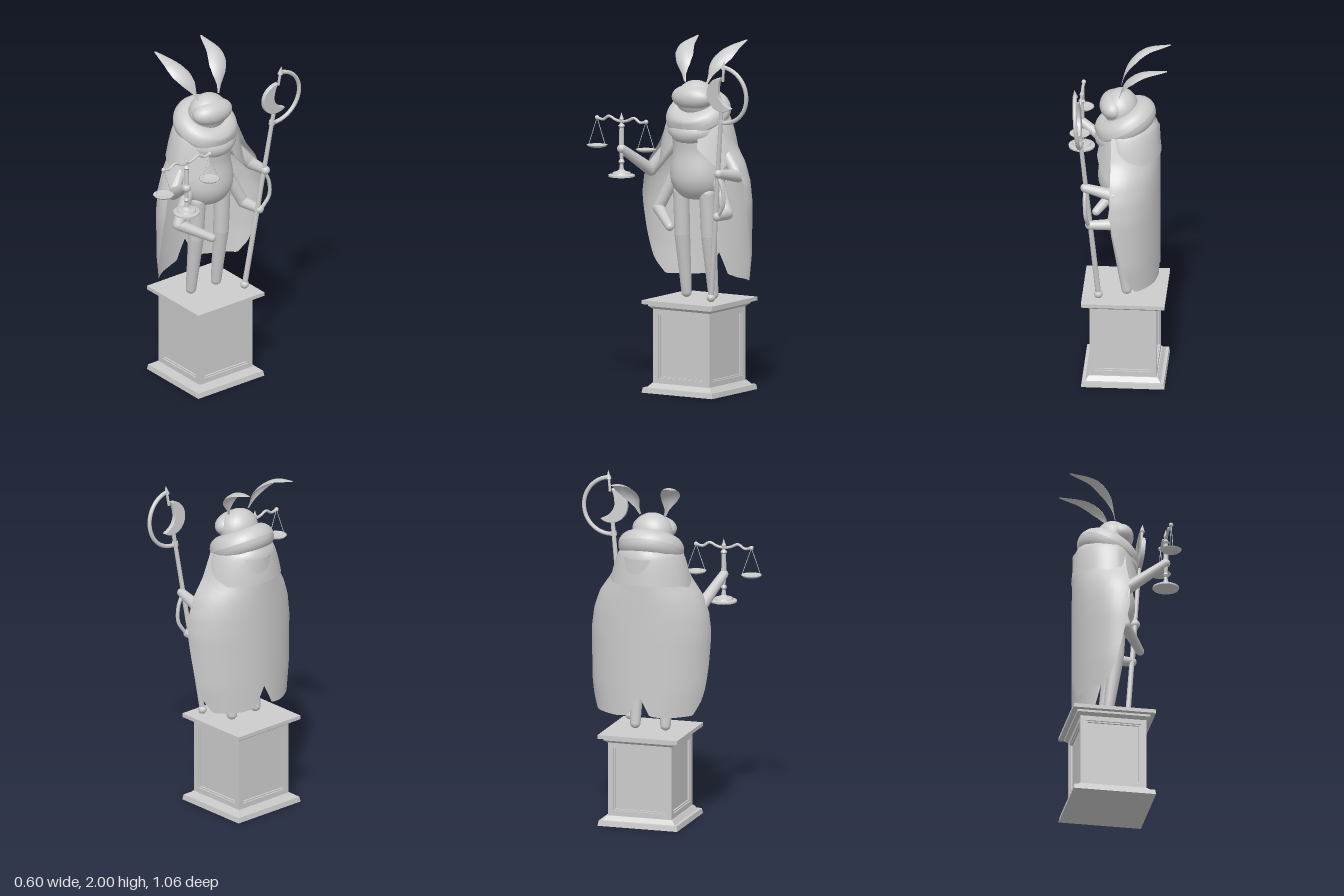
import * as THREE from 'three';

const mat = new THREE.MeshStandardMaterial({ color: 0xcccccc });
const flat = new THREE.MeshStandardMaterial({ color: 0xcccccc, flatShading: true });
const thin = new THREE.MeshStandardMaterial({ color: 0xcccccc, side: THREE.DoubleSide });
const V = (p) => new THREE.Vector3(...p);
const RAD = Math.PI / 180;

function add(parent, name, geo, pos = [0, 0, 0], material = mat) {
  const m = new THREE.Mesh(geo, material);
  m.name = name;
  m.position.set(...pos);
  parent.add(m);
  return m;
}

function ellipsoid(parent, name, pos, r) {
  return add(parent, name, new THREE.SphereGeometry(1, 28, 20).scale(...r), pos);
}

// piecewise linear lookup in [[x, y], ...]
function lookup(table, x) {
  for (let i = 1; i < table.length; i++) {
    const [x0, y0] = table[i - 1], [x1, y1] = table[i];
    if (x <= x1) return y0 + (y1 - y0) * Math.max(0, (x - x0) / (x1 - x0));
  }
  return table[table.length - 1][1];
}

// grid surface from a rule (u, v) -> [x, y, z]
function sheet(nu, nv, fn) {
  const pos = [], idx = [];
  for (let j = 0; j <= nv; j++)
    for (let i = 0; i <= nu; i++) pos.push(...fn(i / nu, j / nv));
  for (let j = 0; j < nv; j++)
    for (let i = 0; i < nu; i++) {
      const a = j * (nu + 1) + i, b = a + nu + 1;
      idx.push(a, b, a + 1, a + 1, b, b + 1);
    }
  const g = new THREE.BufferGeometry();
  g.setAttribute('position', new THREE.Float32BufferAttribute(pos, 3));
  g.setIndex(idx);
  g.computeVertexNormals();
  return g;
}

// tapered rods with round joints through [x, y, z, radius] points
function limb(parent, name, pts) {
  const g = new THREE.Group();
  g.name = name;
  parent.add(g);
  pts.forEach((p, i) => {
    add(g, 'joint', new THREE.SphereGeometry(p[3], 16, 12), p.slice(0, 3));
    if (!i) return;
    const q = pts[i - 1], a = V(q.slice(0, 3)), b = V(p.slice(0, 3)), d = b.clone().sub(a);
    const rod = add(g, 'segment', new THREE.CylinderGeometry(p[3], q[3], d.length(), 16, 1, true), a.add(b).multiplyScalar(0.5).toArray());
    rod.quaternion.setFromUnitVectors(new THREE.Vector3(0, 1, 0), d.normalize());
  });
  return g;
}

const tube = (pts, r, n = 32) => new THREE.TubeGeometry(new THREE.CatmullRomCurve3(pts.map(V)), n, r, 8);

function pedestal() {
  const g = new THREE.Group();
  g.name = 'pedestal';
  g.position.set(-0.047, 0, -0.04);
  const block = (name, y0, y1, w0, w1) => add(g, name,
    new THREE.CylinderGeometry(w1 / Math.SQRT2, w0 / Math.SQRT2, y1 - y0, 4).rotateY(Math.PI / 4), [0, (y0 + y1) / 2, 0], flat);
  block('plinth', 0, 0.03, 0.475, 0.465);
  block('plinthMoulding', 0.03, 0.055, 0.43, 0.39);
  block('core', 0.05, 0.5, 0.345, 0.345);
  block('corniceMoulding', 0.48, 0.495, 0.385, 0.42);
  block('corniceStep', 0.495, 0.51, 0.42, 0.42);
  block('topSlab', 0.508, 0.53, 0.475, 0.475);
  // framed recessed panel on each side
  const frame = (w, y0, y1, border, depth) => {
    const rect = (T, x, a, b) => new T([[-x, a], [x, a], [x, b], [-x, b]].map((p) => new THREE.Vector2(...p)));
    const s = rect(THREE.Shape, w, y0, y1);
    s.holes.push(rect(THREE.Path, w - border, y0 + border, y1 - border));
    return new THREE.ExtrudeGeometry(s, { depth, bevelEnabled: false });
  };
  for (let i = 0; i < 4; i++) {
    const side = new THREE.Group();
    side.name = 'panelFrame';
    side.rotation.y = i * Math.PI / 2;
    add(side, 'frame', frame(0.19, 0.052, 0.485, 0.033, 0.02), [0, 0, 0.17]);
    add(side, 'innerTrim', frame(0.16, 0.082, 0.455, 0.011, 0.012), [0, 0, 0.17]);
    g.add(side);
  }
  return g;
}

// body parts symmetric about the figure's own middle plane
function figure() {
  const g = new THREE.Group();
  g.name = 'figure';
  g.position.z = -0.035;
  const profile = [[0, 1.1], [0.08, 1.11], [0.13, 1.15], [0.158, 1.21], [0.16, 1.28], [0.145, 1.38], [0.15, 1.48], [0.13, 1.56], [0.09, 1.64]];
  const curve = new THREE.SplineCurve(profile.map((p) => new THREE.Vector2(...p)));
  add(g, 'torso', new THREE.LatheGeometry(curve.getPoints(28), 32).scale(0.92, 1, 1), [-0.04, 0, 0]);
  ellipsoid(g, 'head', [-0.02, 1.675, 0], [0.1, 0.11, 0.118]);
  ellipsoid(g, 'face', [0.02, 1.69, 0], [0.08, 0.073, 0.13]);

  // fur collar: tilted ring pulled down to a point in front
  const collar = new THREE.TorusGeometry(0.115, 0.074, 20, 48).rotateX(Math.PI / 2);
  const p = collar.attributes.position;
  for (let i = 0; i < p.count; i++) {
    const c = Math.max(0, p.getX(i)) / Math.hypot(p.getX(i), p.getZ(i));
    if (p.getY(i) < 0.03) p.setY(i, p.getY(i) - 0.06 * c ** 8);
  }
  collar.computeVertexNormals();
  const ring = add(g, 'furCollar', collar, [-0.045, 1.59, 0]);
  ring.rotation.z = -0.5;
  const lower = add(g, 'lowerCollar', new THREE.TorusGeometry(0.12, 0.06, 16, 40).rotateX(Math.PI / 2), [-0.045, 1.53, 0]);
  lower.rotation.z = -0.35;

  // long wing cape with a notch at the back and rounded front corners
  const width = [[0.64, 0.325], [0.8, 0.345], [1.1, 0.35], [1.22, 0.335], [1.32, 0.3], [1.42, 0.23], [1.56, 0.17]];
  const hem = [[0, 0.77], [11, 0.65], [25, 0.64], [60, 0.645], [73, 0.73], [85, 0.92], [95, 1.13]];
  add(g, 'cape', sheet(72, 24, (u, v) => {
    const a = (u * 2 - 1) * 95, low = lookup(hem, Math.abs(a)), y = 1.56 + (low - 1.56) * v;
    return [-0.245 * Math.cos(a * RAD), y, -0.01 + lookup(width, y) * Math.sin(a * RAD)];
  }), [0, 0, 0], thin);

  // short shoulder cape ending in two front lapels
  const lapel = [[0, 1.41], [60, 1.4], [95, 1.36], [118, 1.29], [135, 1.33], [158, 1.41]];
  add(g, 'shoulderCape', sheet(64, 10, (u, v) => {
    const a = (u * 2 - 1) * 158, low = lookup(lapel, Math.abs(a)), c = Math.cos(a * RAD);
    const r = 0.15 + 0.09 * Math.sqrt(v);
    return [-0.03 - c * (c > 0 ? 0.19 + 0.032 * Math.sqrt(v) : 0.11 + 0.04 * v), 1.6 + (low - 1.6) * v, r * Math.sin(a * RAD)];
  }), [0, 0, 0], thin);

  const stem = new THREE.CatmullRomCurve3([[-0.015, 1.77, 0.073], [-0.055, 1.89, 0.115], [-0.14, 1.965, 0.147], [-0.295, 1.997, 0.165]].map(V));
  const leaf = [[0, 0.006], [0.12, 0.014], [0.3, 0.046], [0.48, 0.06], [0.65, 0.052], [0.85, 0.028], [1, 0.006]];
  for (const s of [1, -1]) {
    limb(g, 'leg', [[0.0, 1.14, 0.088 * s, 0.046], [-0.015, 0.9, 0.09 * s, 0.045], [-0.06, 0.56, 0.09 * s, 0.03]]);
    // leaf-shaped antenna, slightly cupped
    add(g, 'antenna', sheet(8, 24, (u, v) => {
      const c = stem.getPoint(v), k = u * 2 - 1, w = lookup(leaf, v);
      return [c.x - 0.2 * w * k * k, c.y - 0.25 * w * k * k, s * (c.z + w * k)];
    }), [0, 0, 0], thin);
  }
  return g;
}

function staff() {
  const g = new THREE.Group();
  g.name = 'staff';
  g.position.set(0.095, 0.565, -0.21);
  g.quaternion.setFromUnitVectors(new THREE.Vector3(0, 1, 0), V([0.09, 1, -0.121]).normalize());
  add(g, 'shaft', new THREE.CylinderGeometry(0.012, 0.016, 1.12, 14), [0, 0.56, 0]);
  add(g, 'foot', new THREE.SphereGeometry(0.025, 16, 12));
  add(g, 'collar', new THREE.CylinderGeometry(0.018, 0.018, 0.025, 14), [0, 1.04, 0]);
  add(g, 'spike', new THREE.CylinderGeometry(0.008, 0.008, 0.1, 10), [0, 1.33, 0]);
  add(g, 'finial', new THREE.ConeGeometry(0.016, 0.05, 10), [0, 1.378, 0]);
  // half ring and crescent in the staff's side plane
  add(g, 'halfRing', new THREE.TorusGeometry(0.163, 0.012, 10, 40, Math.PI).rotateZ(-Math.PI / 2).rotateY(Math.PI / 2), [0, 1.2, 0]);
  const moon = new THREE.Shape();
  moon.absarc(0, 0, 0.095, 100 * RAD, 312 * RAD, false);
  moon.quadraticCurveTo(-0.01, -0.055, -0.026, 0.005);
  moon.quadraticCurveTo(-0.03, 0.055, -0.0165, 0.0935);
  add(g, 'crescent', new THREE.ExtrudeGeometry(moon, { depth: 0.018, bevelEnabled: true, bevelSize: 0.004, bevelThickness: 0.004, bevelSegments: 2, curveSegments: 32 })
    .translate(0, 0, -0.009).rotateY(Math.PI / 2), [0, 1.2, 0]);
  return g;
}

function scales() {
  const g = new THREE.Group();
  g.name = 'scales';
  g.position.set(0.225, 1.235, 0.31);
  const col = [[0, 0], [0.075, 0], [0.075, 0.01], [0.055, 0.014], [0.05, 0.024], [0.03, 0.028], [0.014, 0.04], [0.01, 0.07], [0.018, 0.085],
    [0.01, 0.1], [0.015, 0.17], [0.013, 0.28], [0.02, 0.29], [0.008, 0.305], [0.013, 0.33], [0.007, 0.345], [0, 0.37]];
  add(g, 'column', new THREE.LatheGeometry(col.map((p) => new THREE.Vector2(...p)), 20), [0, 0, 0], flat);
  add(g, 'beam', tube([[0, 0.325, -0.165], [0, 0.318, -0.125], [0, 0.34, -0.085], [0, 0.322, -0.04], [0, 0.315, 0],
    [0, 0.322, 0.04], [0, 0.34, 0.085], [0, 0.318, 0.125], [0, 0.325, 0.165]], 0.008, 48));
  for (const s of [1, -1]) {
    const z = 0.165 * s;
    add(g, 'beamEnd', new THREE.SphereGeometry(0.013, 12, 10), [0, 0.325, z]);
    const bowl = [[0, 0], [0.03, 0.002], [0.05, 0.008], [0.06, 0.017], [0.056, 0.017], [0, 0.01]];
    add(g, 'pan', new THREE.LatheGeometry(bowl.map((p) => new THREE.Vector2(...p)), 16), [0, 0.152, z]);
    for (const k of [1, -1]) add(g, 'cord', tube([[0, 0.325, z], [0, 0.168, z + 0.056 * k]], 0.002, 1));
  }
  return g;
}

export function createModel() {
  const model = new THREE.Group();
  model.name = 'mothStatue';
  model.add(pedestal(), figure(), staff(), scales());
  // four arms
  limb(model, 'leftUpperArm', [[-0.04, 1.43, 0.12, 0.04], [0.02, 1.255, 0.245, 0.036], [0.225, 1.395, 0.31, 0.026]]);
  limb(model, 'leftLowerArm', [[-0.02, 1.24, 0.1, 0.036], [0.01, 1.04, 0.2, 0.034], [0.125, 0.955, 0.05, 0.024]]);
  limb(model, 'rightUpperArm', [[-0.04, 1.43, -0.19, 0.04], [0.0, 1.26, -0.33, 0.036], [0.165, 1.29, -0.305, 0.026]]);
  limb(model, 'rightLowerArm', [[-0.02, 1.24, -0.17, 0.036], [0.01, 1.04, -0.265, 0.034], [0.14, 1.04, -0.28, 0.026]]);
  // thin curved strap between the hands on the staff
  add(model, 'strap', tube([[0.165, 1.28, -0.3], [0.165, 1.21, -0.33], [0.16, 1.12, -0.335], [0.145, 1.04, -0.29]], 0.011));
  return model;
}
